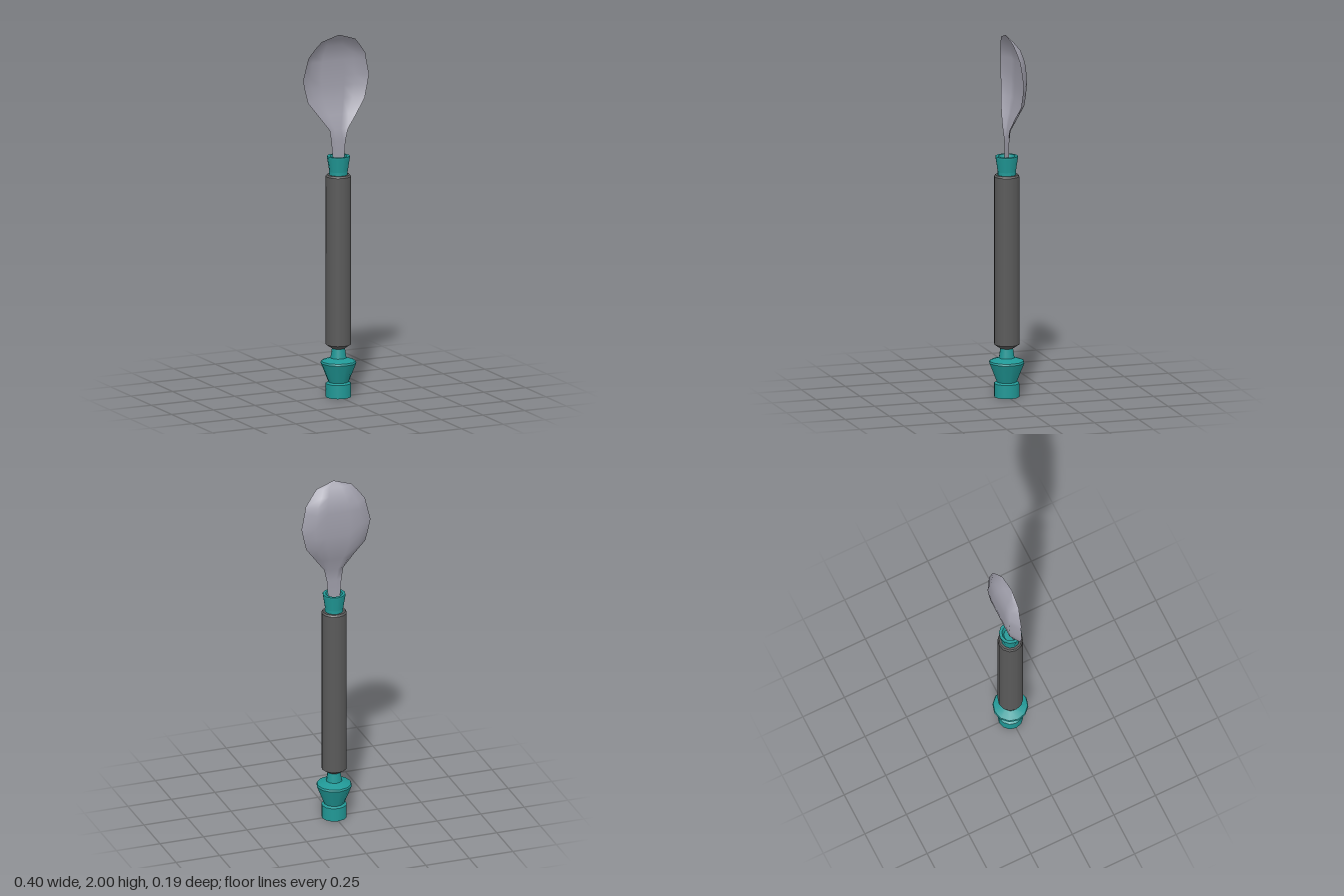
import * as THREE from 'three';
import { mergeGeometries } from 'three/addons/utils/BufferGeometryUtils.js';

const SIDES = 12;

const paint = (name, color, side = THREE.FrontSide) => {
  const m = new THREE.MeshStandardMaterial({ color, side });
  m.name = name;
  return m;
};

// Turned part: smooth around the axis, creased at every profile corner
function turned(name, profile, material) {
  const bands = profile.slice(1).map((p, i) =>
    new THREE.LatheGeometry([profile[i], p].map(([r, y]) => new THREE.Vector2(r, y)), SIDES));
  const mesh = new THREE.Mesh(mergeGeometries(bands), material);
  mesh.name = name;
  return mesh;
}

// Thin dished sheet lofted through rows of [y, half width, rim z, floor z]
function dishedSheet(name, rows, material) {
  const across = [-1, -0.68, -0.35, 0, 0.35, 0.68, 1];
  const n = across.length;
  const positions = [], index = [];
  rows.forEach(([y, w, rim, floor], r) => {
    for (const u of across) positions.push(w * u, y, Math.abs(u) === 1 ? rim : floor);
    if (r === 0) return;
    for (let c = 0; c < n - 1; c++) {
      const a = (r - 1) * n + c, b = r * n + c;
      if (r > 1) index.push(a, b + 1, a + 1);
      index.push(a, b, b + 1);
    }
  });
  const g = new THREE.BufferGeometry();
  g.setAttribute('position', new THREE.Float32BufferAttribute(positions, 3));
  g.setIndex(index);
  g.computeVertexNormals();
  const mesh = new THREE.Mesh(g, material);
  mesh.name = name;
  return mesh;
}

export function createModel() {
  const teal = paint('teal', 0x209896);
  const charcoal = paint('charcoal', 0x5a5a5a);
  const metal = paint('metal', 0x9f9eaa, THREE.DoubleSide);

  const spoon = new THREE.Group();
  spoon.name = 'spoon';

  // End cap with flared collar and neck
  spoon.add(turned('pommel', [
    [0, 0], [0.069, 0], [0.069, 0.075], [0.055, 0.083],
    [0.097, 0.188], [0.093, 0.198], [0.043, 0.215], [0.034, 0.275],
  ], teal));

  // Long handle grip
  spoon.add(turned('grip', [
    [0, 0.268], [0.036, 0.268], [0.069, 0.29], [0.069, 1.218], [0.062, 1.227], [0, 1.227],
  ], charcoal));

  // Flared ferrule with a recessed socket
  spoon.add(turned('ferrule', [
    [0.05, 1.225], [0.05, 1.245], [0.062, 1.322], [0.062, 1.33],
    [0.046, 1.33], [0.036, 1.3], [0, 1.3],
  ], teal));

  // Bowl and flat stem
  spoon.add(dishedSheet('bowlAndStem', [
    [2.0, 0, 0.007, 0.007],
    [1.968, 0.1, 0, -0.019],
    [1.93, 0.133, -0.01, -0.048],
    [1.88, 0.17, -0.019, -0.061],
    [1.84, 0.179, -0.024, -0.069],
    [1.755, 0.198, -0.03, -0.07],
    [1.7, 0.187, -0.029, -0.068],
    [1.63, 0.17, -0.025, -0.062],
    [1.55, 0.111, -0.006, -0.035],
    [1.475, 0.055, 0.005, -0.009],
    [1.41, 0.042, 0, 0],
    [1.29, 0.033, 0, 0],
  ], metal));

  return spoon;
}
